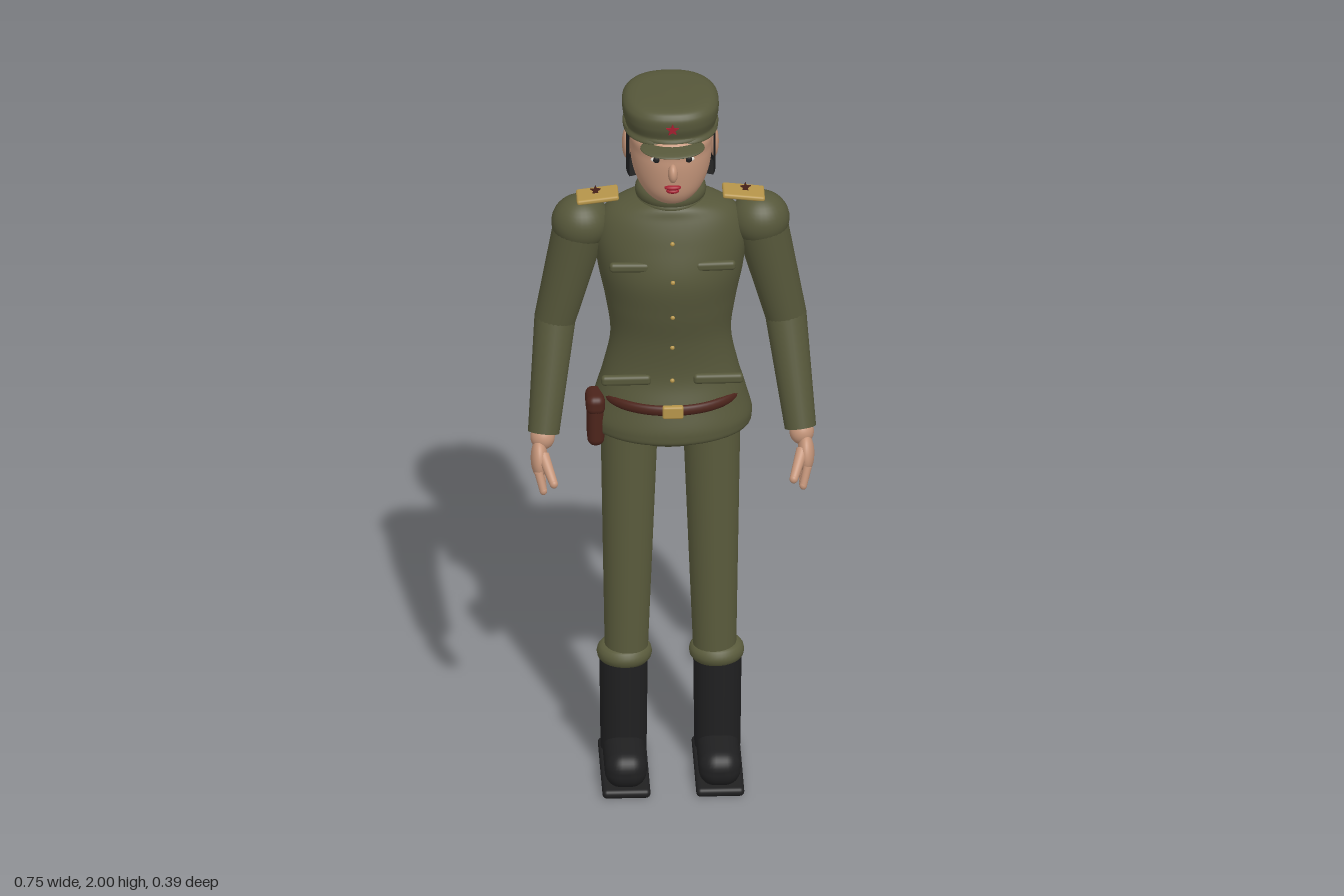
import * as THREE from 'three';
import { RoundedBoxGeometry } from 'three/addons/geometries/RoundedBoxGeometry.js';

const mat = (name, color) => Object.assign(new THREE.MeshStandardMaterial({ color, side: THREE.DoubleSide }), { name });
const V = (x, y, z) => new THREE.Vector3(x, y, z);

// Smooth body from cross-sections [y, half width, front z, back z], bottom to top
function loft(rows, power = 2, steps = 48, n = 48) {
  const a = new THREE.CatmullRomCurve3(rows.map(r => V(r[0], r[1], 0)), false, 'catmullrom');
  const b = new THREE.CatmullRomCurve3(rows.map(r => V((r[2] + r[3]) / 2, (r[2] - r[3]) / 2, 0)), false, 'catmullrom');
  const pos = [], idx = [];
  const bend = v => Math.sign(v) * Math.abs(v) ** (2 / power);
  for (let i = 0; i <= steps; i++) {
    const p = a.getPoint(i / steps), q = b.getPoint(i / steps);
    for (let j = 0; j < n; j++) {
      const t = j / n * Math.PI * 2;
      pos.push(p.y * bend(Math.sin(t)), p.x, q.x + q.y * bend(Math.cos(t)));
      if (i < steps) {
        const k = i * n + j, m = i * n + (j + 1) % n;
        idx.push(k, m, k + n, m, m + n, k + n);
      }
    }
  }
  const g = new THREE.BufferGeometry();
  g.setAttribute('position', new THREE.Float32BufferAttribute(pos, 3));
  g.setIndex(idx);
  g.computeVertexNormals();
  return g;
}

function starShape(r) {
  const s = new THREE.Shape();
  for (let i = 0; i < 10; i++) {
    const a = i * Math.PI / 5, q = i % 2 ? r * 0.42 : r;
    s[i ? 'lineTo' : 'moveTo'](Math.sin(a) * q, Math.cos(a) * q);
  }
  return s;
}

export function createModel() {
  const model = new THREE.Group();
  model.name = 'uniformedFigure';
  const olive = mat('olive cloth', 0x56573a), trousers = mat('trouser cloth', 0x5a5b3c);
  const skin = mat('skin', 0xc4957a), black = mat('black leather and hair', 0x202021);
  const brown = mat('brown leather', 0x4c241b), gold = mat('gold', 0xb6954a);
  const red = mat('red', 0xa32030), white = mat('eye white', 0xe6e0d8);

  const add = (name, g, m, x = 0, y = 0, z = 0, parent = model) => {
    const o = new THREE.Mesh(g, m);
    o.name = name;
    o.position.set(x, y, z);
    parent.add(o);
    return o;
  };
  const ball = (name, m, c, r, parent) => {
    const o = add(name, new THREE.SphereGeometry(1, 32, 20), m, ...c, parent);
    o.scale.set(...r);
    return o;
  };
  const box = (name, m, c, s, r, parent) =>
    add(name, new RoundedBoxGeometry(...s, 4, r), m, ...c, parent);
  const rod = (name, m, a, b, ra, rb, parent) => {
    const p = V(...a), q = V(...b), d = q.clone().sub(p);
    const o = add(name, new THREE.CylinderGeometry(rb, ra, d.length(), 28), m, 0, 0, 0, parent);
    o.position.copy(p).add(q).multiplyScalar(0.5);
    o.quaternion.setFromUnitVectors(V(0, 1, 0), d.normalize());
    return o;
  };
  // Horizontal oval ring
  const ring = (name, m, y, rx, front, back, tube, tall = 1) => {
    const g = new THREE.TorusGeometry(1, tube / rx, 14, 64).rotateX(Math.PI / 2);
    const o = add(name, g, m, 0, y, (front + back) / 2);
    o.scale.set(rx, rx * tall, (front - back) / 2);
    return o;
  };

  // Jacket and pelvis
  add('jacket', loft([
    [1.03, 0, -0.01, -0.02], [1.02, 0.18, 0.115, -0.14], [1.05, 0.212, 0.135, -0.16],
    [1.12, 0.197, 0.118, -0.146], [1.2, 0.175, 0.096, -0.117], [1.3, 0.157, 0.1, -0.107],
    [1.4, 0.17, 0.12, -0.143], [1.5, 0.19, 0.132, -0.163], [1.6, 0.197, 0.108, -0.138],
    [1.665, 0.165, 0.085, -0.11], [1.7, 0.085, 0.065, -0.085], [1.71, 0, -0.01, -0.012],
  ], 2, 88), olive);
  add('pelvis', loft([[0.955, 0, -0.02, -0.03], [0.962, 0.09, 0.02, -0.09], [0.99, 0.15, 0.06, -0.125],
    [1.03, 0.19, 0.1, -0.145], [1.06, 0.18, 0.09, -0.14]], 2, 30), trousers);
  ring('collar', olive, 1.715, 0.075, 0.06, -0.085, 0.018, 1.25);
  ring('collarBase', olive, 1.695, 0.078, 0.064, -0.088, 0.012);

  // Belt, buckle, holster and buttons
  ring('belt', brown, 1.125, 0.178, 0.123, -0.153, 0.012, 1.2);
  box('buckle', gold, [0, 1.127, 0.133], [0.055, 0.036, 0.018], 0.006);
  box('holster', brown, [-0.197, 1.055, 0.03], [0.044, 0.13, 0.08], 0.02);
  box('holsterFlap', brown, [-0.198, 1.11, 0.03], [0.05, 0.055, 0.086], 0.02);
  for (const [y, z] of [[1.2, 0.096], [1.3, 0.1], [1.4, 0.12], [1.51, 0.132], [1.61, 0.105]])
    ball('button', gold, [0, y, z], [0.006, 0.006, 0.005]);

  // Neck and head
  rod('neck', skin, [0, 1.68, -0.01], [0, 1.8, -0.01], 0.062, 0.062);
  add('head', loft([[1.715, 0, 0.035, 0.025], [1.72, 0.045, 0.085, -0.03], [1.75, 0.078, 0.112, -0.07],
    [1.8, 0.1, 0.122, -0.1], [1.86, 0.106, 0.124, -0.11], [1.91, 0.1, 0.11, -0.11], [1.93, 0, 0, -0.01]]), skin);
  ball('nose', skin, [0, 1.832, 0.127], [0.013, 0.026, 0.021]);
  ball('upperLip', red, [0, 1.787, 0.12], [0.022, 0.007, 0.01]);
  ball('lowerLip', red, [0, 1.776, 0.118], [0.017, 0.007, 0.01]);

  // Hair shell and bun
  const hair = add('hair', new THREE.CylinderGeometry(1, 1, 0.13, 40, 1, false, 1.22, 2 * Math.PI - 2.44), black, 0, 1.845, 0);
  hair.scale.set(0.116, 1, 0.124);
  ball('hairBun', black, [0, 1.815, -0.15], [0.054, 0.044, 0.045]);

  // Cap with visor and star
  add('cap', loft([[1.9, 0, -0.02, -0.03], [1.9, 0.115, 0.1, -0.148], [1.92, 0.118, 0.102, -0.15],
    [1.95, 0.125, 0.111, -0.16], [1.98, 0.122, 0.108, -0.157], [1.997, 0.09, 0.08, -0.125], [2, 0, -0.02, -0.03]], 2.4), olive);
  ring('capBand', olive, 1.91, 0.116, 0.101, -0.148, 0.009);
  const visor = ball('visor', olive, [0, 1.898, 0.107], [0.084, 0.008, 0.052]);
  visor.rotation.x = 0.12;
  add('capStar', new THREE.ExtrudeGeometry(starShape(0.018), { depth: 0.006, bevelEnabled: false }), red, 0, 1.953, 0.109);

  for (const s of [1, -1]) {
    const side = new THREE.Group();
    side.name = s > 0 ? 'leftSide' : 'rightSide';
    model.add(side);

    // Face details
    ball('eyeWhite', white, [s * 0.042, 1.867, 0.112], [0.015, 0.008, 0.005], side);
    ball('iris', black, [s * 0.042, 1.867, 0.115], [0.009, 0.009, 0.005], side);
    const brow = ball('eyebrow', black, [s * 0.044, 1.889, 0.108], [0.022, 0.005, 0.006], side);
    brow.rotation.z = -s * 0.1;
    ball('ear', skin, [s * 0.114, 1.845, -0.022], [0.012, 0.044, 0.024], side);

    // Pocket flaps
    const chest = box('chestPocketFlap', olive, [s * 0.112, 1.545, 0.106], [0.105, 0.026, 0.022], 0.01, side);
    chest.rotation.z = s * 0.02;
    box('lowerPocketFlap', olive, [s * 0.12, 1.2, 0.087], [0.13, 0.028, 0.022], 0.01, side);

    // Sleeve
    const shoulder = [s * 0.233, 1.618, -0.017], elbow = [s * 0.3, 1.33, -0.022], cuff = [s * 0.334, 1.045, 0.077];
    ball('shoulder', olive, shoulder, [0.077, 0.073, 0.074], side);
    rod('upperSleeve', olive, shoulder, elbow, 0.07, 0.054, side);
    ball('elbow', olive, elbow, [0.054, 0.054, 0.054], side);
    rod('lowerSleeve', olive, elbow, cuff, 0.054, 0.041, side);

    // Epaulette with small upright star
    const ep = box('epaulette', gold, [s * 0.19, 1.693, -0.018], [0.11, 0.014, 0.07], 0.006, side);
    ep.rotation.z = -s * 0.12;
    add('epauletteStar', new THREE.ExtrudeGeometry(starShape(0.015), { depth: 0.004, bevelEnabled: false }),
      brown, s * 0.195, 1.707, -0.02, side);

    // Hand
    ball('wrist', skin, [s * 0.337, 1.035, 0.083], [0.032, 0.035, 0.032], side);
    const palm = ball('palm', skin, [s * 0.347, 0.985, 0.108], [0.022, 0.052, 0.038], side);
    palm.rotation.x = -0.35;
    for (let i = 0; i < 4; i++) {
      const a = [s * 0.35, 0.962 - i * 0.003, 0.142 - i * 0.017];
      const b = [s * 0.338, 0.905 + Math.abs(i - 1.5) * 0.006, 0.155 - i * 0.02];
      rod('finger', skin, a, b, 0.011, 0.01, side);
      ball('fingertip', skin, b, [0.01, 0.012, 0.01], side);
    }
    const t0 = [s * 0.337, 1.0, 0.12], t1 = [s * 0.312, 0.948, 0.182];
    rod('thumb', skin, t0, t1, 0.016, 0.011, side);
    ball('thumbTip', skin, t1, [0.011, 0.012, 0.011], side);

    // Trouser leg and gathered cuff
    rod('trouserLeg', trousers, [s * 0.115, 0.34, -0.015], [s * 0.107, 1.03, -0.017], 0.056, 0.075, side);
    const roll = add('trouserCuff', new THREE.TorusGeometry(0.049, 0.023, 14, 40).rotateX(Math.PI / 2), trousers,
      s * 0.12, 0.34, -0.018, side);
    roll.scale.y = 1.1;

    // Boot
    rod('bootShaft', black, [s * 0.122, 0.06, -0.016], [s * 0.122, 0.335, -0.016], 0.06, 0.063, side);
    box('bootFoot', black, [s * 0.122, 0.064, 0.022], [0.11, 0.1, 0.285], 0.045, side);
    box('bootSole', black, [s * 0.122, 0.0125, 0.021], [0.125, 0.025, 0.302], 0.012, side);
  }
  return model;
}
